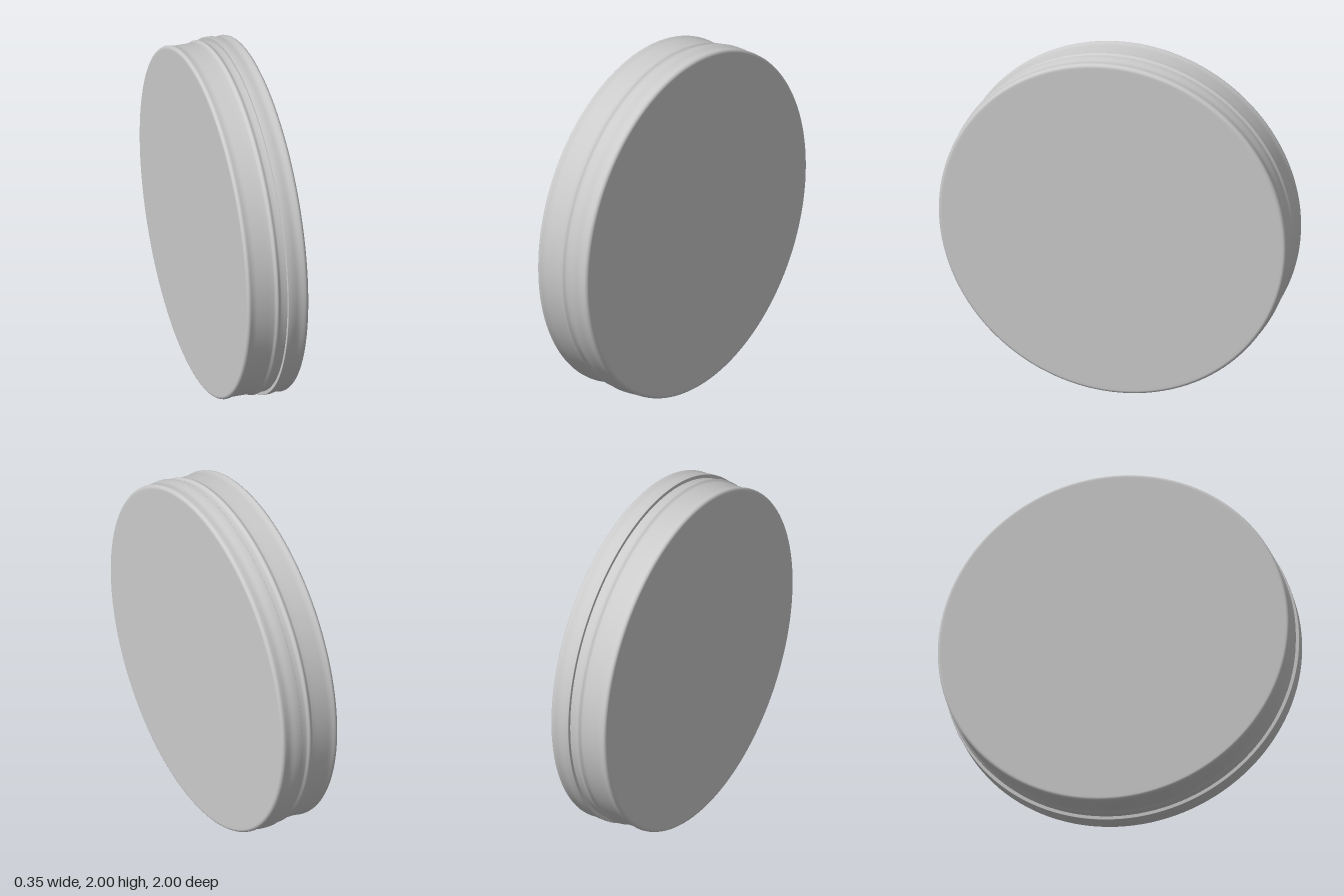
import * as THREE from 'three';

// Profile points are [radius, position along the axis]
const SEGMENTS = 128;

// Quarter-round corner between a flat disc and the side wall; dir is +1 or -1 along the axis
function corner(radius, end, r, dir) {
  const pts = [];
  for (let i = 0; i <= 6; i++) {
    const a = (i / 6) * Math.PI / 2;
    pts.push([radius - r + r * Math.sin(a), end - dir * r * (1 - Math.cos(a))]);
  }
  return dir < 0 ? pts : pts.reverse();
}

function turned(name, profile, material) {
  const geometry = new THREE.LatheGeometry(profile.map(([r, h]) => new THREE.Vector2(r, h)), SEGMENTS);
  geometry.rotateZ(-Math.PI / 2); // lay the axis along x
  const mesh = new THREE.Mesh(geometry, material);
  mesh.name = name;
  mesh.position.y = 1;
  return mesh;
}

export function createModel() {
  const group = new THREE.Group();
  group.name = 'roundTin';
  const material = new THREE.MeshStandardMaterial({ color: 0xcccccc, side: THREE.DoubleSide });

  // Shallow base with a rolled bottom edge, a raised bead and a neck inside the lid
  group.add(turned('base', [
    [0, -0.177], [0.96, -0.177],
    ...corner(0.988, -0.177, 0.018, -1),
    [0.986, -0.15], [0.982, -0.138], [0.981, -0.12], [0.981, -0.05], [0.981, -0.022],
    [0.983, -0.014], [0.989, -0.006], [0.991, 0], [0.989, 0.006], [0.983, 0.014],
    [0.98, 0.022], [0.98, 0.04], [0.98, 0.12],
  ], material));

  // Overlapping lid: sharp lower lip, slightly waisted wall, rounded top edge
  group.add(turned('lid', [
    [0.975, 0.056], [0.998, 0.056], [0.9995, 0.0565], [1, 0.058],
    [1, 0.07], [0.999, 0.09], [0.995, 0.105], [0.993, 0.12], [0.993, 0.132], [0.995, 0.145],
    ...corner(0.996, 0.177, 0.02, 1),
    [0.96, 0.177], [0, 0.177],
  ], material));

  return group;
}
